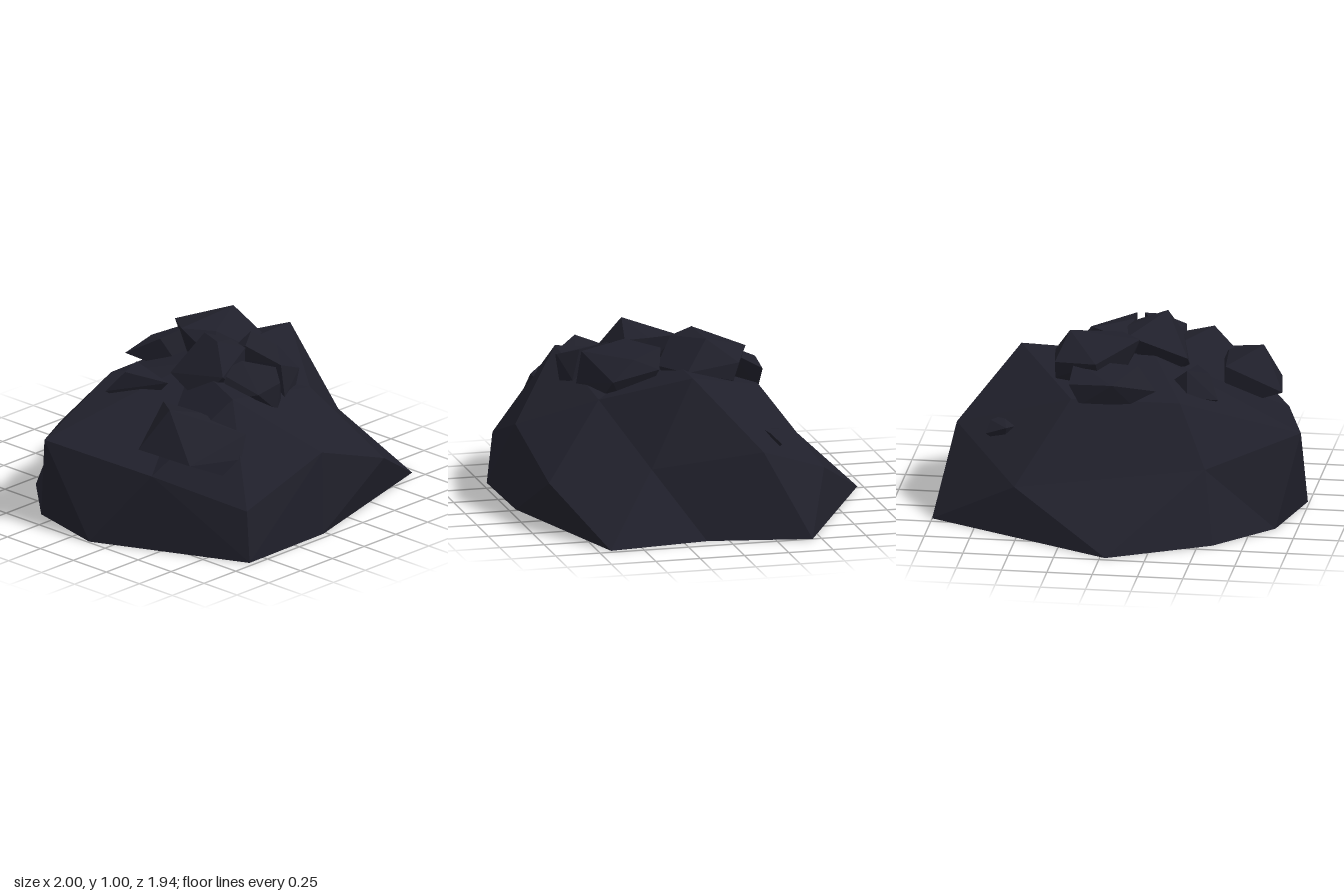
import * as THREE from 'three';
import { ConvexGeometry } from 'three/addons/geometries/ConvexGeometry.js';

const stone = new THREE.MeshStandardMaterial({ color: 0x20202b, flatShading: true, side: THREE.DoubleSide });
stone.name = 'dark stone';

// Open faceted shell: ground outline, shoulder ring, then crown
function moundGeometry() {
  const points = [
    // ground outline, anticlockwise from above
    .97, 0, .68, .9, 0, .12, 1, 0, -.45, -.03, 0, -.97, -.58, 0, -.68,
    -.88, 0, -.35, -.99, 0, .12, -.61, 0, .97, -.02, 0, .96,
    // shoulder
    .51, .28, .91, .9, .48, -.2, .52, .27, -.64, -.52, .39, -.55,
    -1, .51, -.21, -.6, .29, .94, -.03, .48, .96,
    // crown
    .59, .84, .12, .25, .69, -.34, -.35, .69, -.33, -.4, .81, .64,
    .28, .67, .57, -.15, .81, .1, .7, .37, .38,
    // left shoulder
    -.84, .43, .45,
  ];
  const faces = [
    0, 1, 22, 1, 10, 22, 10, 16, 22, 1, 2, 10, 2, 11, 10, 2, 3, 11,
    10, 11, 17, 10, 17, 16, 3, 12, 11, 11, 12, 17, 12, 18, 17, 3, 4, 12,
    4, 5, 12, 5, 13, 12, 5, 6, 13, 6, 7, 23, 6, 23, 13, 7, 14, 23, 7, 8, 15,
    7, 15, 14, 8, 9, 15, 8, 0, 9, 0, 22, 9, 22, 16, 20, 22, 20, 9,
    9, 20, 15, 15, 20, 19, 15, 19, 14, 14, 19, 23, 23, 19, 21, 23, 21, 13, 13, 21, 18,
    13, 18, 12, 18, 21, 17, 21, 16, 17, 21, 20, 16, 21, 19, 20,
  ];
  const geometry = new THREE.BufferGeometry();
  geometry.setAttribute('position', new THREE.Float32BufferAttribute(points, 3));
  geometry.setIndex(faces);
  const flat = geometry.toNonIndexed();
  flat.computeVertexNormals();
  return flat;
}

// Corners of each loose chunk
const rocks = {
  leftFrontRock: [[-.7, .78, .45], [-.82, .55, .33], [-.52, .72, .23], [-.5, .72, .5], [-.43, .65, .77],
    [-.5, .53, .8], [-.77, .53, .67], [-.6, .45, .76], [-.45, .42, .55], [-.5, .45, .3]],
  smallFrontRock: [[-.27, .74, .52], [-.22, .84, .36], [-.1, .89, .42], [-.02, .88, .6],
    [-.02, .71, .64], [-.1, .67, .69], [-.24, .8, .68], [-.1, .84, .71], [-.12, .55, .5]],
  frontRock: [[0, .93, .35], [.2, .92, .2], [.29, .82, .23], [.24, .87, .36], [.28, .76, .49],
    [.02, .7, .63], [.22, .68, .52], [.02, .88, .6], [-.02, .84, .21], [-.02, .6, .35], [.15, .5, .35]],
  peakRock: [[-.19, 1, .32], [-.33, .8, .1], [-.01, .93, .05], [.02, .93, .22], [0, .92, .35],
    [-.26, .84, .43], [-.32, .68, .3], [0, .65, .35], [-.15, .55, .2]],
  crownRock: [[.3, .98, -.03], [.12, .88, -.3], [.36, .85, -.2], [.36, .75, -.17], [.4, .82, .1],
    [.2, .82, .22], [-.09, .95, -.05], [.03, .94, .1], [-.03, .8, .14], [.1, .55, -.1], [.3, .6, .05]],
  leftBackRock: [[-.48, .79, -.1], [-.36, .81, -.13], [-.54, .67, -.19], [-.37, .68, -.21],
    [-.28, .74, -.09], [-.38, .76, .13], [-.42, .55, -.05]],
  backRock: [[-.22, .76, -.35], [.02, .79, -.38], [.26, .78, -.36], [.25, .87, -.2], [-.1, .85, -.2],
    [-.08, .68, -.35], [.2, .66, -.35], [.05, .6, -.15]],
  smallBackRock: [[.54, .52, -.33], [.6, .52, -.39], [.72, .47, -.35], [.7, .53, -.29],
    [.63, .55, -.25], [.62, .4, -.33]],
};

export function createModel() {
  const group = new THREE.Group();
  group.name = 'rockPile';
  const add = (name, geometry) => {
    const mesh = new THREE.Mesh(geometry, stone);
    mesh.name = name;
    group.add(mesh);
  };
  add('mound', moundGeometry());
  for (const [name, corners] of Object.entries(rocks)) {
    add(name, new ConvexGeometry(corners.map((c) => new THREE.Vector3(...c))));
  }
  return group;
}
